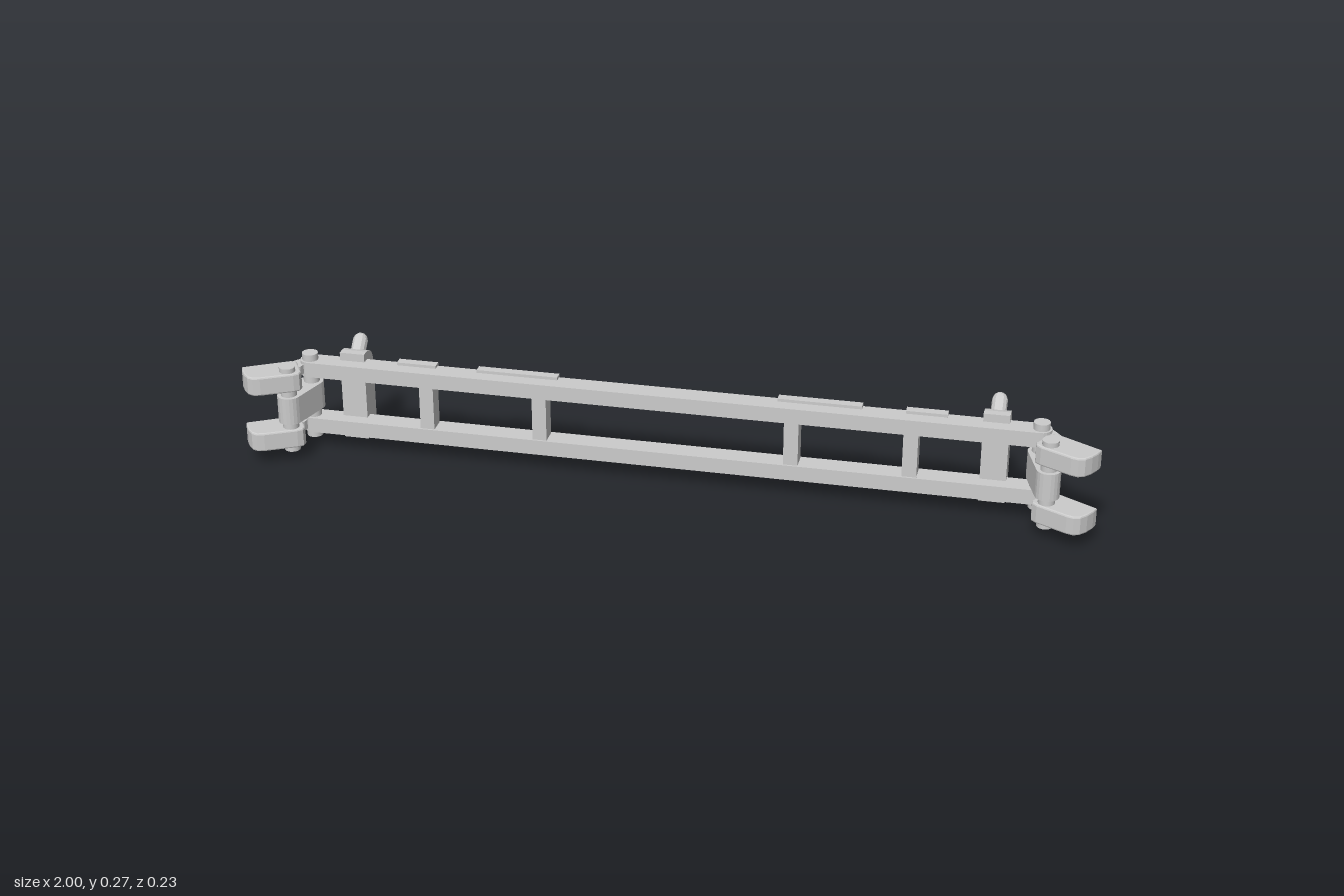
import * as THREE from 'three';

const MID = 0.1365; // height of the horizontal symmetry plane

export function createModel() {
  const model = new THREE.Group();
  const material = new THREE.MeshStandardMaterial({ color: 0xcccccc, flatShading: true });
  const smooth = new THREE.MeshStandardMaterial({ color: 0xcccccc });

  function add(name, geometry, parent = model, mat = material) {
    const mesh = new THREE.Mesh(geometry, mat);
    mesh.name = name;
    parent.add(mesh);
    return mesh;
  }
  function box(name, x0, x1, y0, y1, z0, z1, parent) {
    const g = new THREE.BoxGeometry(Math.abs(x1 - x0), y1 - y0, z1 - z0);
    return add(name, g.translate((x0 + x1) / 2, (y0 + y1) / 2, (z0 + z1) / 2), parent);
  }
  // Extrude a plan outline of [x, z] points between two heights
  function plan(points, y0, y1, bevel = 0) {
    const shape = new THREE.Shape(points.map(([x, z]) => new THREE.Vector2(x, -z)));
    const g = new THREE.ExtrudeGeometry(shape, {
      depth: y1 - y0 - 2 * bevel, bevelEnabled: bevel > 0, bevelSize: bevel,
      bevelThickness: bevel, bevelOffset: -bevel, bevelSegments: 2,
    });
    return g.rotateX(-Math.PI / 2).translate(0, y0 + bevel, 0);
  }
  // Points of a capsule outline around two centres
  function capsule([ax, az], [bx, bz], r, n = 10) {
    const dir = Math.atan2(bz - az, bx - ax), points = [];
    for (const [cx, cz, start] of [[bx, bz, dir - Math.PI / 2], [ax, az, dir + Math.PI / 2]])
      for (let i = 0; i <= n; i++) {
        const a = start + (Math.PI * i) / n;
        points.push([cx + r * Math.cos(a), cz + r * Math.sin(a)]);
      }
    return points;
  }
  // Lower and upper limits of a band, on either side of the middle plane
  const band = (v, near, far) => (v > 0 ? [MID + near, MID + far] : [MID - far, MID - near]);

  // Long rails with rounded ends and raised strips
  for (const v of [-1, 1]) {
    add('rail', plan(capsule([-0.86, -0.026], [0.86, -0.026], 0.026), ...band(v, 0.054, 0.091)));
    for (const s of [-1, 1])
      for (const [a, b] of [[0.26, 0.455], [0.555, 0.65]])
        box('railStrip', s * a, s * b, ...band(v, 0.085, 0.098), -0.056, -0.034);
  }

  // Upright bars between the rails
  for (const x of [-0.572, -0.298, 0.298, 0.572])
    box('crossBar', x - 0.017, x + 0.017, 0.08, 0.193, -0.047, -0.005);

  // Bracket side outline in (z, y), with an optional groove in the back
  function bracketShape(groove) {
    const s = new THREE.Shape(), r = 0.045;
    const back = -0.096, front = -0.032, lo = 0.026, hi = 0.247;
    s.moveTo(front, lo);
    s.lineTo(front, hi);
    s.lineTo(back + r, hi);
    s.quadraticCurveTo(back + 0.004, hi - 0.004, back, hi - r);
    if (groove) {
      s.lineTo(back, 0.2);
      s.lineTo(back + 0.025, 0.2);
      s.lineTo(back + 0.025, 0.073);
      s.lineTo(back, 0.073);
    }
    s.lineTo(back, lo + r);
    s.quadraticCurveTo(back + 0.004, lo + 0.004, back + r, lo);
    s.closePath();
    return s;
  }
  function bracketSlice(x0, x1, groove) {
    const g = new THREE.ExtrudeGeometry(bracketShape(groove),
      { depth: x1 - x0, bevelEnabled: false, curveSegments: 6 });
    return g.rotateY(-Math.PI / 2).translate(x1, 0, 0);
  }

  // Round-tipped peg profile
  const pegProfile = [[0, 0], [0.018, 0], [0.018, 0.072], [0.014, 0.082], [0.008, 0.087], [0, 0.088]]
    .map(([r, y]) => new THREE.Vector2(r, y));

  for (const s of [-1, 1]) {
    // Grooved bracket with two slanting pegs
    const bracket = new THREE.Group();
    bracket.name = 'bracket';
    model.add(bracket);
    const cx = s * 0.76;
    add('bracketSide', bracketSlice(cx - 0.03, cx - 0.012, false), bracket);
    add('bracketCore', bracketSlice(cx - 0.012, cx + 0.012, true), bracket);
    add('bracketSide', bracketSlice(cx + 0.012, cx + 0.03, false), bracket);
    for (const v of [-1, 1]) {
      const peg = add('peg', new THREE.LatheGeometry(pegProfile, 12), bracket);
      peg.position.set(cx, MID + v * 0.067, -0.047);
      peg.rotation.x = v > 0 ? -Math.PI / 4 : -Math.PI * 0.75;
    }

    // Hinge: two pins joined by a middle link
    const hinge = new THREE.Group();
    hinge.name = 'hinge';
    model.add(hinge);
    const pins = [[s * 0.862, -0.025], [s * 0.888, 0.061]];
    for (const [x, z] of pins) {
      const pin = new THREE.CylinderGeometry(0.019, 0.019, 0.215, 20);
      add('hingePin', pin.translate(x, MID, z), hinge, smooth);
    }
    add('hingeLink', plan(capsule(pins[0], pins[1], 0.028), 0.104, 0.171), hinge);

    // Outer arms, each with a thin tongue reaching back to the rail
    const side = (points) => points.map(([x, z]) => [s * x, z]);
    const arm = side([[1, 0.062], [0.994, 0.078], [0.982, 0.098], [0.968, 0.113], [0.953, 0.118],
      [0.937, 0.113], [0.868, 0.077], [0.857, 0.067], [0.856, 0.054], [0.885, 0.005], [0.9, 0.005]]);
    const tongue = side([[0.862, -0.045], [0.88, -0.045], [0.897, -0.025],
      [0.93, 0.02], [0.95, 0.035], [0.91, 0.05], [0.875, 0.01]]);
    for (const v of [-1, 1]) {
      add('outerArm', plan(arm, ...band(v, 0.049, 0.096), 0.004), hinge);
      add('armTongue', plan(tongue, ...band(v, 0.061, 0.084)), hinge);
    }
  }
  return model;
}
